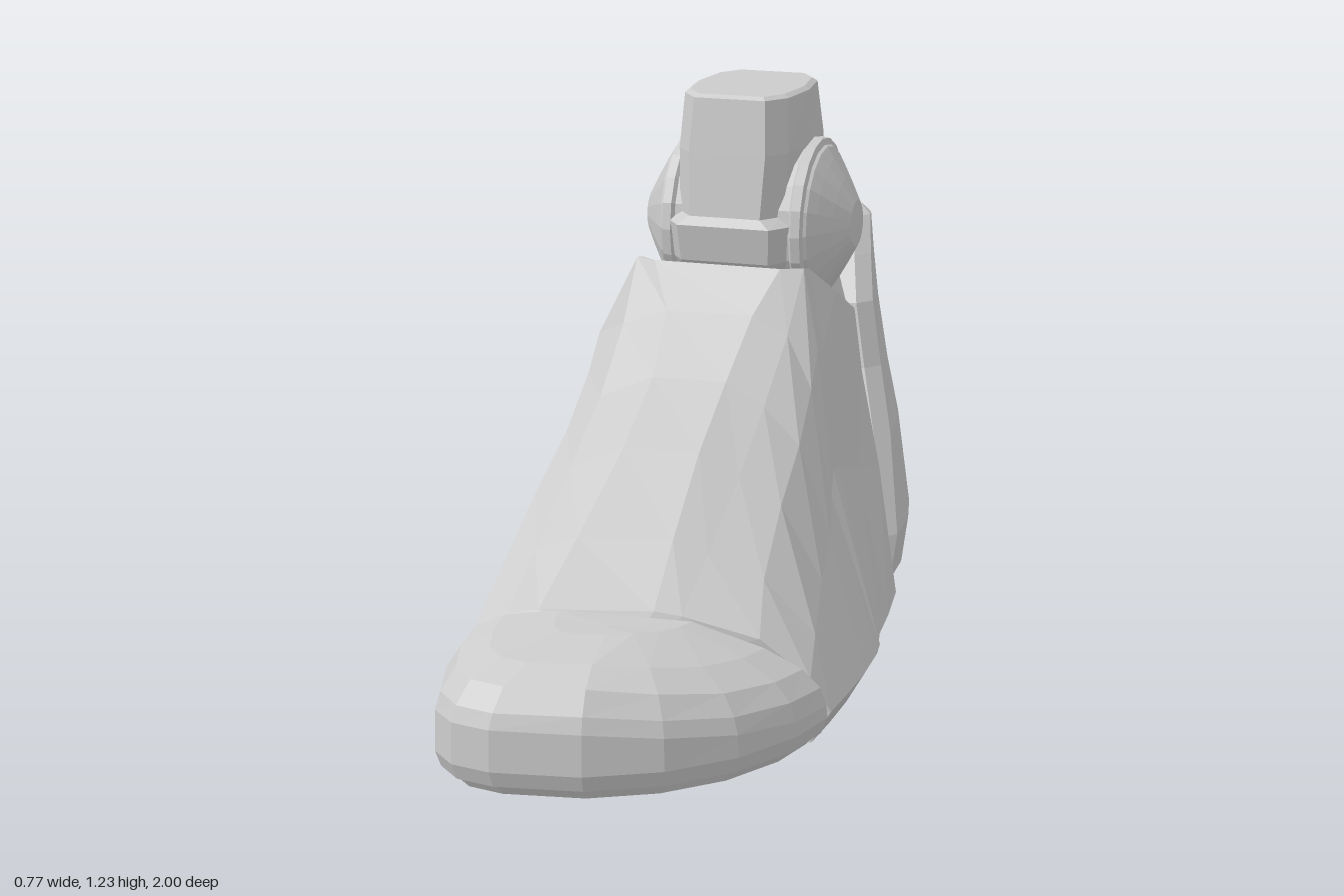
import * as THREE from 'three';

const material = new THREE.MeshStandardMaterial({ color: 0xcccccc, flatShading: true });

// Skins a stack of closed rings of [x, y, z] points and caps both ends
function loft(name, rings) {
  const n = rings[0].length, pos = rings.flat(2), index = [];
  rings.slice(1).forEach((_, r) => {
    for (let i = 0; i < n; i++) {
      const a = r * n + i, b = r * n + (i + 1) % n;
      index.push(a, b, b + n, a, b + n, a + n);
    }
  });
  const cap = (ring, start, flip) => {
    const c = pos.length / 3;
    for (let k = 0; k < 3; k++) pos.push(ring.reduce((s, p) => s + p[k], 0) / n);
    for (let i = 0; i < n; i++) {
      const a = start + i, b = start + (i + 1) % n;
      index.push(c, flip ? b : a, flip ? a : b);
    }
  };
  cap(rings[0], 0, true);
  cap(rings[rings.length - 1], (rings.length - 1) * n, false);

  // Turn the faces outward whichever way the rings run
  const v = i => new THREE.Vector3().fromArray(pos, index[i] * 3);
  let volume = 0;
  for (let i = 0; i < index.length; i += 3) volume += v(i).dot(v(i + 1).cross(v(i + 2)));
  if (volume < 0) index.reverse();

  const geo = new THREE.BufferGeometry();
  geo.setAttribute('position', new THREE.Float32BufferAttribute(pos, 3));
  geo.setIndex(index);
  const flat = geo.toNonIndexed();
  flat.computeVertexNormals();
  const mesh = new THREE.Mesh(flat, material);
  mesh.name = name;
  return mesh;
}

// Shrinks a ring about its middle and shifts it along z
function inset(ring, scale, dz) {
  const mid = [0, 1].map(k => ring.reduce((s, p) => s + p[k], 0) / ring.length);
  return ring.map(([x, y, z]) => [mid[0] + (x - mid[0]) * scale, mid[1] + (y - mid[1]) * scale, z + dz]);
}

// Toe cap: outline scaled per layer, falling toward the tip and the outer side
function toeCap() {
  const outline = [[-.385, .68], [-.375, .8], [-.34, .92], [-.28, .98], [-.19, 1], [0, .97],
    [.15, .89], [.27, .77], [.35, .62], [.38, .49]];
  const layers = [[.9, .01], [.93, .03], [.97, .035], [1, .07], [.995, .16], [.965, .22], [.88, .265], [.7, .29], [.35, .3]];
  return loft('toeCap', layers.map(([s, h]) => outline.map(([ox, oz]) => {
    const x = -.05 + (ox + .05) * s, z = .5975 + (oz - .5975) * s;
    const drop = h > .1 ? 1 - .4 * Math.pow(Math.max(0, x / .38), 1.3) : 1;
    const tilt = h > .2 ? Math.max(0, z - .6) * .07 : 0;
    return [x, h * drop - tilt, z];
  })));
}

// Midfoot cross-section, leaning with height and skewed across the foot;
// floor sinks the ankle well, drop chamfers the ridge, curl bends the collar back
function midSection([z0, lean, skew, h, floor, left, right, r1, r2, xr, curl = 0, drop = 0]) {
  return [[-.31, 0], [-.355, .06], [-.365, h * .5], [-.365, h * .8],
    [left, h - drop], [left + .05 + drop * 1.4, floor], [right - .05 - drop * .8, floor], [right, h - drop],
    [r1, h * .8], [r2, h * .5], [xr, .07], [xr - .04, 0]]
    .map(([x, y]) => [x, y, z0 + lean * y + skew * x
      - curl * Math.min(1, ((x + .09) / .2) ** 2) * (y / h) ** 2]);
}

function midfoot() {
  const rings = [
    [-.34, -.27, 0, .705, .6, -.35, .15, .18, .24, .305],
    [-.18, -.24, 0, .775, .6, -.335, .14, .175, .23, .33, .04],
    [-.05, -.21, 0, .855, .6, -.29, .11, .16, .22, .345, .05],
    [-.005, -.21, 0, .865, .865, -.29, .11, .16, .22, .355, .05],
    [.03, -.21, -.02, .77, .77, -.29, .1, .165, .23, .365, .02, .04],
    [.1, -.15, -.05, .65, .65, -.29, .09, .175, .255, .375, 0, .05],
    [.24, -.08, -.1, .54, .54, -.29, .09, .185, .28, .382, 0, .05],
    [.4, 0, -.18, .4, .4, -.29, .08, .2, .31, .382, 0, .03],
    [.55, 0, -.25, .288, .288, -.29, .07, .23, .335, .378, 0, .01],
  ].map(midSection);
  const back = inset(rings[0], .93, -.035);
  const front = inset(rings[rings.length - 1], .87, .012);
  return loft('midfoot', [back, ...rings, front, inset(front, 1, .06)]);
}

// Heel shell: half-oval layers, squarer toward the top, with a bevelled front edge
function heel() {
  const layers = [ // y, front z, back z, left x, right x
    [.01, -.36, -.92, -.27, .23], [.08, -.415, -.97, -.335, .275], [.18, -.46, -1, -.355, .28],
    [.4, -.555, -.965, -.36, .235], [.55, -.61, -.935, -.365, .195], [.7, -.64, -.905, -.36, .165],
    [.8, -.71, -.885, -.335, .14], [.88, -.775, -.87, -.305, .12], [.9, -.79, -.845, -.28, .095],
  ];
  return loft('heel', layers.map(([y, f, b, x0, x1]) => {
    const c = (x0 + x1) / 2, w = (x1 - x0) / 2, ring = [[c + w - .03, y, f + .04]];
    for (let i = 0; i <= 12; i++) {
      const a = Math.PI * i / 12, cs = Math.cos(a), sn = Math.max(0, Math.sin(a));
      ring.push([c + w * Math.sign(cs) * Math.abs(cs) ** (1.05 - .3 * y), y, f + (b - f) * sn ** (1 - .1 * y)]);
    }
    ring.push([c - w + .03, y, f + .04]);
    return ring;
  }));
}

// Filler seen in the seam between midfoot and heel
function seamCore() {
  const box = (y, x0, x1, z0, z1) => [[x0, y, z0], [x1, y, z0], [x1, y, z1], [x0, y, z1]];
  return loft('seamCore', [box(.03, -.25, .2, -.25, -.42), box(.3, -.325, .21, -.33, -.58),
    box(.62, -.33, .14, -.42, -.68), box(.7, -.31, .11, -.43, -.7), box(.78, -.26, .07, -.4, -.73)]);
}

// Ankle hinge: a turned shape lying along x, domed at both ends
function ankleJoint() {
  const half = [[0, .252], [.055, .25], [.105, .222], [.15, .195], [.178, .177], [.182, .17],
    [.197, .166], [.2, .145], [.19, .138], [.19, .11]];
  const mirrored = half.map(([r, x]) => [r, -x]).reverse();
  const profile = [...half, ...mirrored].reverse().map(([r, x]) => new THREE.Vector2(r, x));
  const joint = new THREE.Mesh(new THREE.LatheGeometry(profile, 20), material);
  joint.name = 'ankleJoint';
  joint.rotation.z = -Math.PI / 2;
  joint.position.set(-.095, .912, -.525);
  return joint;
}

// Shin stub: chamfered layers tapering upward
function shin() {
  const layers = [ // y, half width, front z, back z, chamfer
    [.74, .13, -.37, -.7, .05], [.85, .155, -.3, -.755, .05], [.935, .16, -.285, -.77, .05],
    [.955, .14, -.3, -.755, .055], [1.1, .147, -.32, -.72, .055], [1.225, .14, -.34, -.69, .055],
    [1.233, .128, -.35, -.68, .05],
  ];
  return loft('shin', layers.map(([y, w, f, b, c]) => {
    const m = (f + b) / 2;
    const side = [[w - c, f], [w - .015, f - c], [w, m], [w - .015, b + c], [w - c, b]];
    const other = side.map(([x, z]) => [-x, z]).reverse();
    return [...side, ...other].map(([x, z]) => [x - .1, y, z]);
  }));
}

export function createModel() {
  const model = new THREE.Group();
  model.name = 'mechanicalFoot';
  model.add(toeCap(), midfoot(), heel(), seamCore(), ankleJoint(), shin());
  return model;
}
